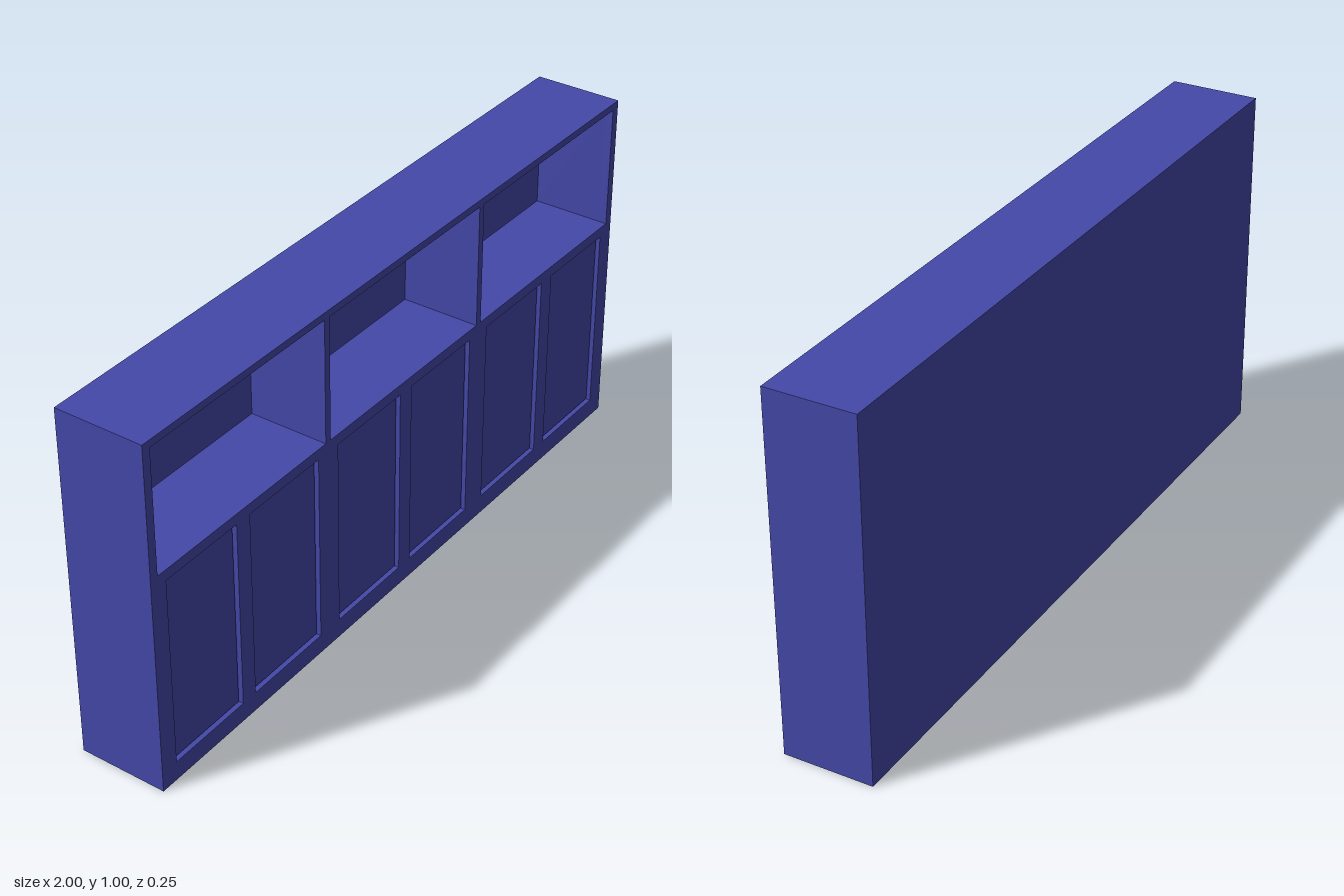
import * as THREE from 'three';

const material = new THREE.MeshStandardMaterial({ color: 0x4448a8 });

// Openings as [x0, x1, y0, y1]
const niches = [[-0.975, -0.34], [-0.32, 0.32], [0.34, 0.975]].map(([a, b]) => [a, b, 0.63, 0.98]);
const halfDoors = [[0.025, 0.29], [0.37, 0.64], [0.69, 0.947]];
const doors = halfDoors
  .flatMap(([a, b]) => [[a, b], [-b, -a]])
  .map(([a, b]) => [a, b, 0.055, 0.6]);

function rectangle(target, [x0, x1, y0, y1]) {
  target.moveTo(x0, y0);
  target.lineTo(x1, y0);
  target.lineTo(x1, y1);
  target.lineTo(x0, y1);
  target.closePath();
  return target;
}

// Full-size slab from z0 to z1 with rectangular openings
function slab(name, z0, z1, openings) {
  const shape = rectangle(new THREE.Shape(), [-1, 1, 0, 1]);
  shape.holes = openings.map((o) => rectangle(new THREE.Path(), o));
  const geometry = new THREE.ExtrudeGeometry(shape, { depth: z1 - z0, bevelEnabled: false });
  geometry.translate(0, 0, z0);
  const mesh = new THREE.Mesh(geometry, material);
  mesh.name = name;
  return mesh;
}

export function createModel() {
  const group = new THREE.Group();
  group.name = 'wallCabinet';

  // Back wall, carcass with open niches, face frame with niches and door openings
  group.add(slab('backPanel', -0.125, -0.1, []));
  group.add(slab('carcass', -0.1, 0.105, niches));
  group.add(slab('faceFrame', 0.105, 0.125, [...niches, ...doors]));

  // Inset doors with a narrow gap all round
  const gap = 0.005, depth = 0.01;
  for (const [x0, x1, y0, y1] of doors) {
    const door = new THREE.Mesh(
      new THREE.BoxGeometry(x1 - x0 - 2 * gap, y1 - y0 - 2 * gap, depth), material);
    door.position.set((x0 + x1) / 2, (y0 + y1) / 2, 0.105 + depth / 2);
    door.name = 'door';
    group.add(door);
  }
  return group;
}
